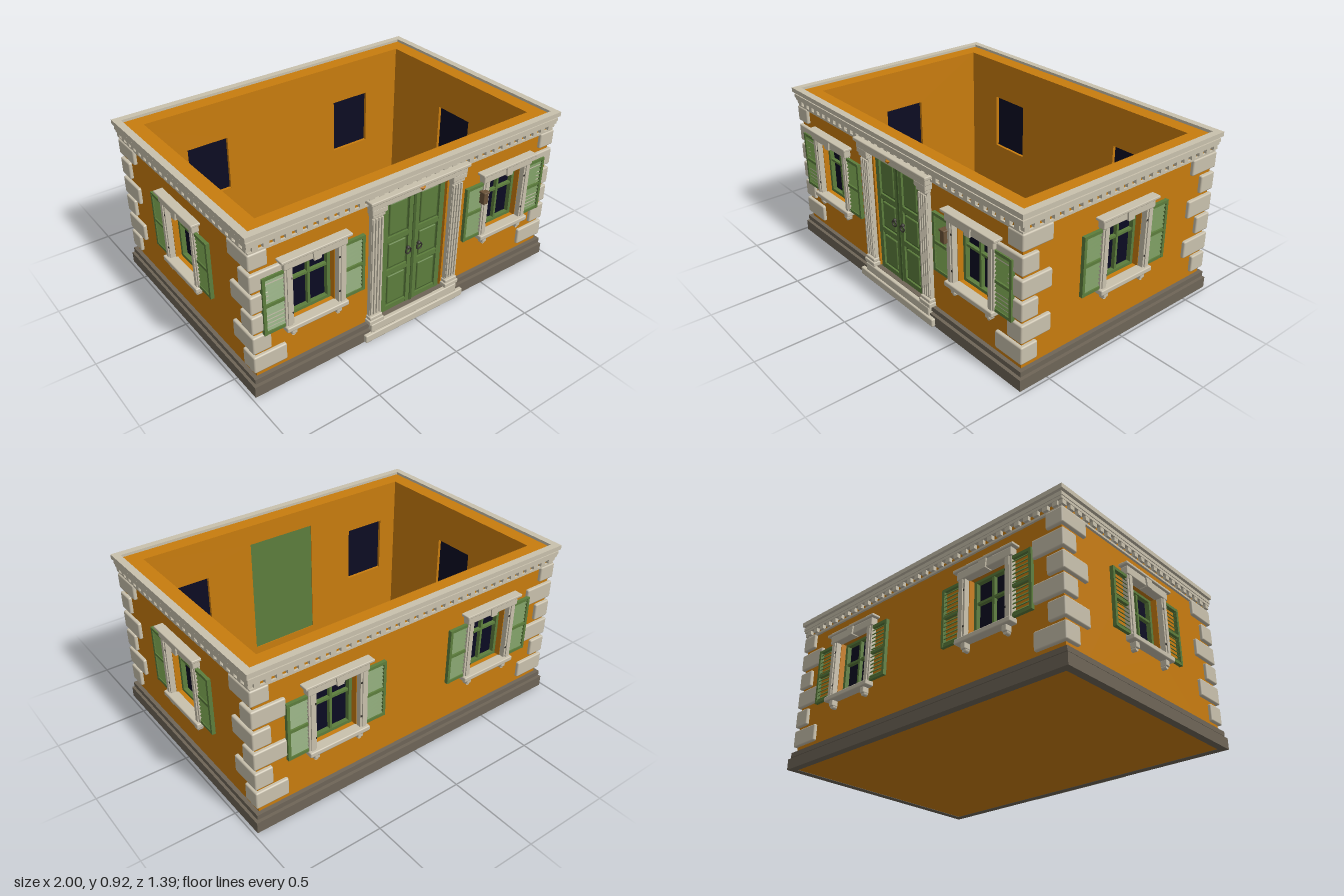
import * as THREE from 'three';
import { RoundedBoxGeometry } from 'three/addons/geometries/RoundedBoxGeometry.js';

const mat = (name, color) => {
  const m = new THREE.MeshStandardMaterial({ color });
  m.name = name;
  return m;
};

const HX = 0.95, HZ = 0.64, ZC = -0.005, T = 0.092, WALL_TOP = 0.915;

export function createModel() {
  const orange = mat('orange plaster', 0xc87c0e);
  const cream = mat('cream stone', 0xc9c1ad);
  const stone = mat('dark plinth stone', 0x6e6557);
  const green = mat('green paint', 0x5c7d3c);
  const darkGreen = mat('dark green paint', 0x48652f);
  const glass = mat('dark glass', 0x0b0b22);
  const iron = mat('dark iron', 0x35322d);
  const bronze = mat('bronze', 0x6a5238);

  const house = new THREE.Group();
  house.name = 'house';

  const add = (parent, name, geo, m, x = 0, y = 0, z = 0) => {
    const mesh = new THREE.Mesh(geo, m);
    mesh.name = name;
    mesh.position.set(x, y, z);
    parent.add(mesh);
    return mesh;
  };
  // Box given by its limits on each axis
  const box = (parent, name, m, x0, x1, y0, y1, z0, z1, bevel = 0) => {
    const s = [x1 - x0, y1 - y0, z1 - z0];
    const geo = bevel ? new RoundedBoxGeometry(...s, 1, bevel) : new THREE.BoxGeometry(...s);
    return add(parent, name, geo, m, (x0 + x1) / 2, (y0 + y1) / 2, (z0 + z1) / 2);
  };
  const rect = (target, x0, x1, y0, y1) => {
    target.moveTo(x0, y0);
    target.lineTo(x1, y0);
    target.lineTo(x1, y1);
    target.lineTo(x0, y1);
    target.closePath();
    return target;
  };

  // Rectangular band running round the whole building
  const ring = (name, m, out, y0, y1, inner = -0.01) => {
    const s = rect(new THREE.Shape(), -HX - out, HX + out, -HZ - out, HZ + out);
    s.holes.push(rect(new THREE.Path(), -HX - inner, HX + inner, -HZ - inner, HZ + inner));
    const geo = new THREE.ExtrudeGeometry(s, { depth: y1 - y0, bevelEnabled: false });
    geo.rotateX(-Math.PI / 2);
    add(house, name, geo, m, 0, y0, ZC);
  };
  ring('plinthBase', stone, 0.032, 0.008, 0.07);
  ring('plinthStep', stone, 0.014, 0.07, 0.08);
  ring('plinthMoulding', stone, 0.022, 0.08, 0.107);
  ring('bedMoulding', cream, 0.012, 0.818, 0.83);
  ring('lowerCornice', cream, 0.022, 0.86, 0.875);
  ring('middleCornice', cream, 0.026, 0.875, 0.893);
  ring('corniceNeck', cream, 0.018, 0.893, 0.905);
  ring('topCornice', cream, 0.034, 0.905, 0.93, -0.006);
  box(house, 'floor', orange, -HX, HX, 0.01, 0.035, ZC - HZ, ZC + HZ);

  // One louvred shutter centred on x = 0
  const slatGeo = new THREE.BoxGeometry(0.108, 0.019, 0.004);
  function shutter(parent, x) {
    const g = new THREE.Group();
    g.name = 'shutter';
    g.position.set(x, 0, 0);
    for (const s of [-1, 1]) box(g, 'shutterStile', green, s * 0.06 - 0.008, s * 0.06 + 0.008, 0.35, 0.675, 0.008, 0.028);
    for (const y of [0.35, 0.505, 0.659]) box(g, 'shutterRail', green, -0.06, 0.06, y, y + 0.016, 0.009, 0.027);
    for (let i = 0; i < 13; i++) {
      const slat = add(g, 'shutterSlat', slatGeo, green, 0, 0.377 + i * 0.0226, 0.018);
      slat.rotation.x = -0.7;
    }
    for (const y of [0.41, 0.61]) box(g, 'shutterHinge', iron, -Math.sign(x) * 0.078 - 0.012, -Math.sign(x) * 0.078 + 0.012, y, y + 0.01, 0.012, 0.032);
    parent.add(g);
  }

  // Window with glazing, stone surround and two shutters
  function windowUnit(face, x) {
    const g = new THREE.Group();
    g.name = 'window';
    g.position.x = x;
    box(g, 'pane', glass, -0.126, 0.126, 0.348, 0.68, -0.074, -0.055);
    for (const s of [-1, 1]) {
      box(g, 'sashSide', green, s * 0.113 - 0.009, s * 0.113 + 0.009, 0.35, 0.678, -0.056, -0.03);
      box(g, 'jamb', cream, s * 0.151 - 0.022, s * 0.151 + 0.022, 0.35, 0.68, -0.01, 0.03);
      box(g, 'jambFillet', cream, s * 0.151 - 0.011, s * 0.151 + 0.011, 0.35, 0.68, 0.03, 0.036);
      box(g, 'corbel', cream, s * 0.13 - 0.015, s * 0.13 + 0.015, 0.29, 0.325, -0.01, 0.036, 0.005);
      const foot = add(g, 'corbelFoot', new THREE.CylinderGeometry(0.013, 0.013, 0.03, 10), cream, s * 0.13, 0.289, 0.012);
      foot.rotation.x = Math.PI / 2;
      shutter(g, s * 0.221);
    }
    for (const [y0, y1] of [[0.35, 0.367], [0.664, 0.678]]) box(g, 'sashRail', green, -0.122, 0.122, y0, y1, -0.056, -0.03);
    box(g, 'mullion', green, -0.007, 0.007, 0.36, 0.67, -0.056, -0.034);
    box(g, 'transom', green, -0.11, 0.11, 0.545, 0.558, -0.056, -0.035);
    box(g, 'sill', cream, -0.178, 0.178, 0.322, 0.35, -0.01, 0.05, 0.006);
    box(g, 'lintel', cream, -0.178, 0.178, 0.677, 0.724, -0.01, 0.038, 0.005);
    box(g, 'lintelCap', cream, -0.197, 0.197, 0.722, 0.737, -0.01, 0.05, 0.004);
    const key = new THREE.Shape([[-0.019, 0.672], [0.019, 0.672], [0.027, 0.736], [-0.027, 0.736]].map(p => new THREE.Vector2(...p)));
    add(g, 'keystone', new THREE.ExtrudeGeometry(key, { depth: 0.047, bevelEnabled: false }), cream);
    face.add(g);
  }

  // Wall with openings; the local origin lies on the outer surface
  function wall(name, angle, x, z, half, trimHalf, windows, door) {
    const g = new THREE.Group();
    g.name = name;
    g.position.set(x, 0, z);
    g.rotation.y = angle;
    const s = rect(new THREE.Shape(), -half, half, 0.012, WALL_TOP);
    for (const w of windows) s.holes.push(rect(new THREE.Path(), w - 0.126, w + 0.126, 0.348, 0.68));
    if (door) s.holes.push(rect(new THREE.Path(), -0.21, 0.21, 0.1, 0.8));
    add(g, 'plasterWall', new THREE.ExtrudeGeometry(s, { depth: T, bevelEnabled: false }), orange, 0, 0, -T);
    windows.forEach(w => windowUnit(g, w));
    // Dentils under the cornice
    const n = Math.floor(trimHalf / 0.058);
    const dentil = new THREE.BoxGeometry(0.03, 0.024, 0.024);
    for (let i = -n; i <= n; i++) add(g, 'dentil', dentil, cream, i * 0.058, 0.848, 0.008);
    house.add(g);
    return g;
  }
  const front = wall('frontWall', 0, 0, ZC + HZ, HX, HX, [-0.62, 0.62], true);
  wall('backWall', Math.PI, 0, ZC - HZ, HX, HX, [-0.5, 0.5]);
  wall('leftWall', Math.PI / 2, HX, ZC, HZ - T, HZ, [0]);
  wall('rightWall', -Math.PI / 2, -HX, ZC, HZ - T, HZ, [0]);

  // Corner quoins, alternating long and short
  const quoinY = [[0.735, 0.822], [0.612, 0.71], [0.492, 0.59], [0.375, 0.473], [0.256, 0.354], [0.14, 0.236]];
  for (const sx of [-1, 1]) for (const sz of [-1, 1]) quoinY.forEach(([y0, y1], i) => {
    const lx = i % 2 ? 0.185 : 0.102, lz = i % 2 ? 0.102 : 0.182;
    const geo = new RoundedBoxGeometry(lx, y1 - y0, lz, 1, 0.008);
    add(house, 'quoin', geo, cream, sx * (HX + 0.019 - lx / 2), (y0 + y1) / 2, ZC + sz * (HZ + 0.018 - lz / 2));
  });

  // Double door
  const door = new THREE.Group();
  door.name = 'door';
  front.add(door);
  box(door, 'doorCore', green, -0.21, 0.21, 0.1, 0.8, -0.088, -0.02);
  const ringGeo = new THREE.TorusGeometry(0.017, 0.004, 6, 16);
  for (const s of [-1, 1]) {
    const c = s * 0.1;
    for (const e of [-1, 1]) box(door, 'doorStile', green, c + e * 0.082 - 0.015, c + e * 0.082 + 0.015, 0.107, 0.795, -0.03, -0.004);
    for (const [y0, y1] of [[0.107, 0.135], [0.335, 0.365], [0.535, 0.565], [0.772, 0.795]])
      box(door, 'doorRail', green, c - 0.07, c + 0.07, y0, y1, -0.03, -0.005);
    for (const [y0, y1] of [[0.135, 0.335], [0.365, 0.535], [0.565, 0.772]]) {
      box(door, 'panelMoulding', darkGreen, c - 0.067, c + 0.067, y0, y1, -0.022, -0.016);
      box(door, 'doorPanel', green, c - 0.055, c + 0.055, y0 + 0.013, y1 - 0.013, -0.02, -0.006, 0.005);
    }
    // Ring handle and its boss
    add(door, 'handleRing', ringGeo, iron, s * 0.036, 0.443, 0.006);
    add(door, 'handleBoss', new THREE.SphereGeometry(0.011, 10, 8), iron, s * 0.036, 0.46, 0.002);

    // Fluted pilaster
    const p = s * 0.257;
    box(door, 'pilasterShaft', cream, p - 0.034, p + 0.034, 0.1, 0.8, -0.03, 0.022);
    for (let k = -1.5; k <= 1.5; k++) box(door, 'pilasterRib', cream, p + k * 0.018 - 0.005, p + k * 0.018 + 0.005, 0.16, 0.74, 0.02, 0.031);
    box(door, 'pilasterPlinth', cream, p - 0.046, p + 0.046, 0.105, 0.13, -0.01, 0.042, 0.004);
    box(door, 'pilasterBase', cream, p - 0.04, p + 0.04, 0.13, 0.15, -0.01, 0.036, 0.005);
    box(door, 'pilasterNeck', cream, p - 0.038, p + 0.038, 0.752, 0.772, -0.01, 0.036, 0.004);
    box(door, 'pilasterCapital', cream, p - 0.046, p + 0.046, 0.772, 0.802, -0.01, 0.042, 0.004);
  }
  box(door, 'doorAstragal', darkGreen, -0.008, 0.008, 0.107, 0.795, -0.02, 0);

  // Entablature, ornament and steps
  box(door, 'entablature', cream, -0.305, 0.305, 0.798, 0.835, -0.03, 0.042, 0.005);
  box(door, 'entablatureCap', cream, -0.318, 0.318, 0.833, 0.852, -0.01, 0.052, 0.005);
  const boss = add(door, 'doorOrnament', new THREE.OctahedronGeometry(0.018), orange, 0, 0.826, 0.046);
  boss.scale.z = 0.8;
  box(door, 'upperStep', cream, -0.292, 0.292, 0.055, 0.105, -0.08, 0.043, 0.006);
  box(door, 'lowerStep', cream, -0.333, 0.333, 0.012, 0.057, -0.02, 0.053, 0.006);

  // Small wall box hung beside the door
  box(front, 'letterBox', bronze, 0.43, 0.462, 0.56, 0.625, 0.02, 0.056, 0.004);
  box(front, 'letterBoxLid', bronze, 0.426, 0.466, 0.622, 0.634, 0.02, 0.06, 0.003);

  return house;
}
